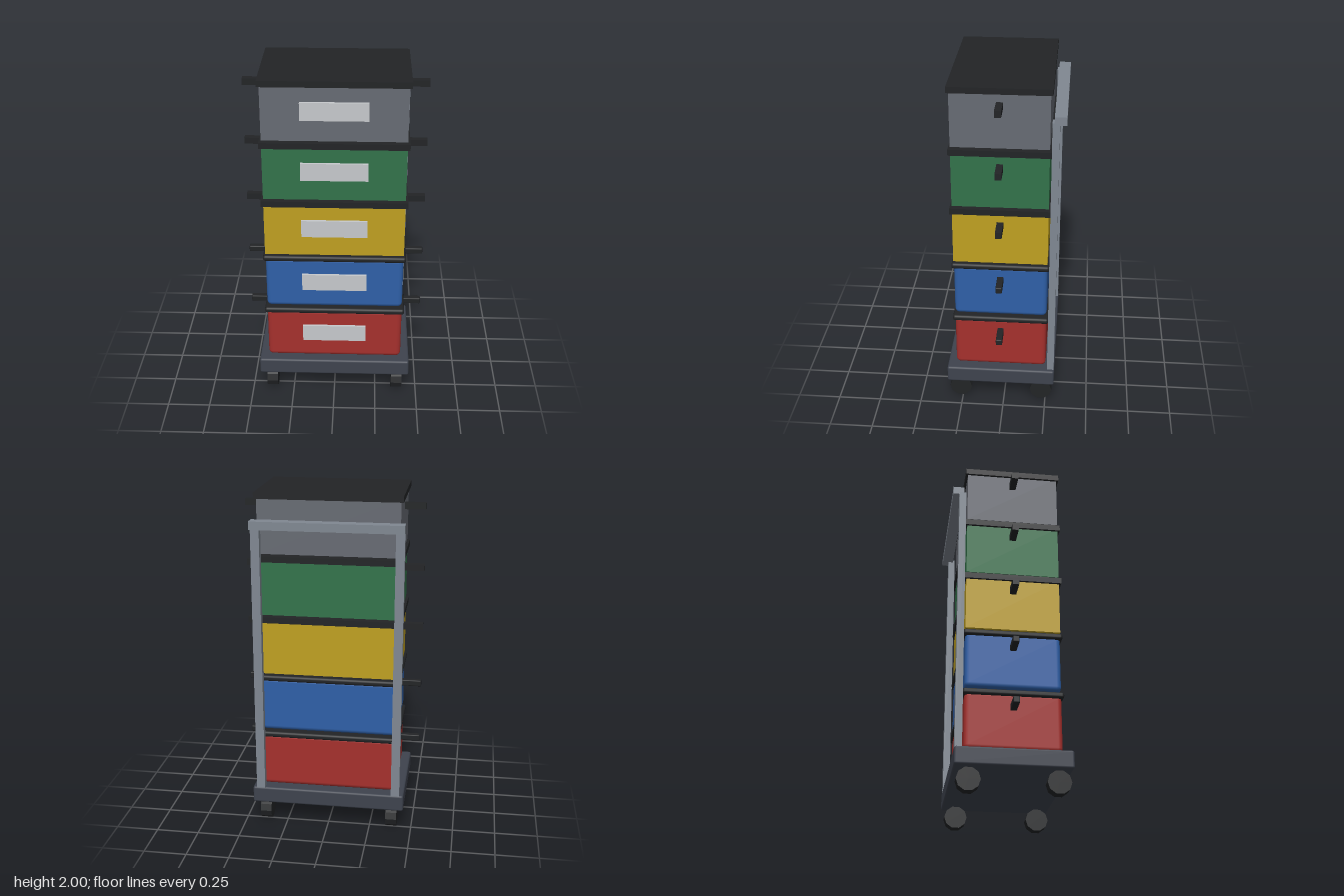
import * as THREE from 'three';
import { RoundedBoxGeometry } from 'three/addons/geometries/RoundedBoxGeometry.js';

const mat = (color) => new THREE.MeshStandardMaterial({ color });
const black = mat(0x222426);
const frameGrey = mat(0x808892);
const baseGrey = mat(0x3e434e);
const labelGrey = mat(0xc6c9cc);

// Box with optional rounded edges, placed by its centre.
function addBox(parent, name, material, [w, h, d], [x, y, z], radius = 0) {
  const geometry = radius
    ? new RoundedBoxGeometry(w, h, d, 2, radius)
    : new THREE.BoxGeometry(w, h, d);
  const mesh = new THREE.Mesh(geometry, material);
  mesh.name = name;
  mesh.position.set(x, y, z);
  parent.add(mesh);
}

// One storage bin: body, lid, label plate and two side handles.
function createBin(name, color, rounded) {
  const bin = new THREE.Group();
  bin.name = name;
  const z = 0.02;
  addBox(bin, 'binBody', mat(color), [0.802, 0.33, 0.537], [0, 0.165, z], rounded ? 0.027 : 0);
  addBox(bin, 'lid', black, [0.83, 0.035, 0.561], [0, 0.328, z], rounded ? 0.014 : 0);
  addBox(bin, 'labelPlate', labelGrey, [0.376, 0.103, 0.03], [0, 0.175, 0.289]);
  for (const side of [-1, 1]) {
    addBox(bin, 'sideHandle', black, [0.143, 0.037, 0.037], [side * 0.4515, 0.245, z], rounded ? 0.006 : 0);
  }
  return bin;
}

export function createModel() {
  const model = new THREE.Group();
  model.name = 'binTrolley';

  // Platform
  addBox(model, 'platform', baseGrey, [0.906, 0.1, 0.64], [0, 0.178, 0.018], 0.012);

  // Wheels
  const wheelGeometry = new THREE.CylinderGeometry(0.066, 0.066, 0.066, 10).rotateZ(Math.PI / 2);
  const wheelMaterial = black.clone();
  wheelMaterial.flatShading = true;
  for (const x of [-0.38, 0.38]) {
    for (const z of [-0.222, 0.262]) {
      const wheel = new THREE.Mesh(wheelGeometry, wheelMaterial);
      wheel.name = 'wheel';
      wheel.position.set(x, 0.066 * Math.cos(Math.PI / 10), z);
      model.add(wheel);
    }
  }

  // Stack of bins, bottom to top
  const bins = [
    ['redBin', 0xa5302d, true],
    ['blueBin', 0x2f60a8, true],
    ['yellowBin', 0xbfa021, false],
    ['greenBin', 0x32734a, false],
    ['greyBin', 0x676b73, false],
  ];
  bins.forEach(([name, color, rounded], i) => {
    const bin = createBin(name, color, rounded);
    bin.position.y = 0.23 + i * 0.356;
    model.add(bin);
  });

  // Rear frame: two posts and a push bar
  for (const side of [-1, 1]) {
    addBox(model, 'rearPost', frameGrey, [0.05, 1.6, 0.04], [side * 0.404, 1.02, -0.279]);
  }
  addBox(model, 'pushBar', frameGrey, [0.858, 0.047, 0.066], [0, 1.83, -0.303]);

  return model;
}
